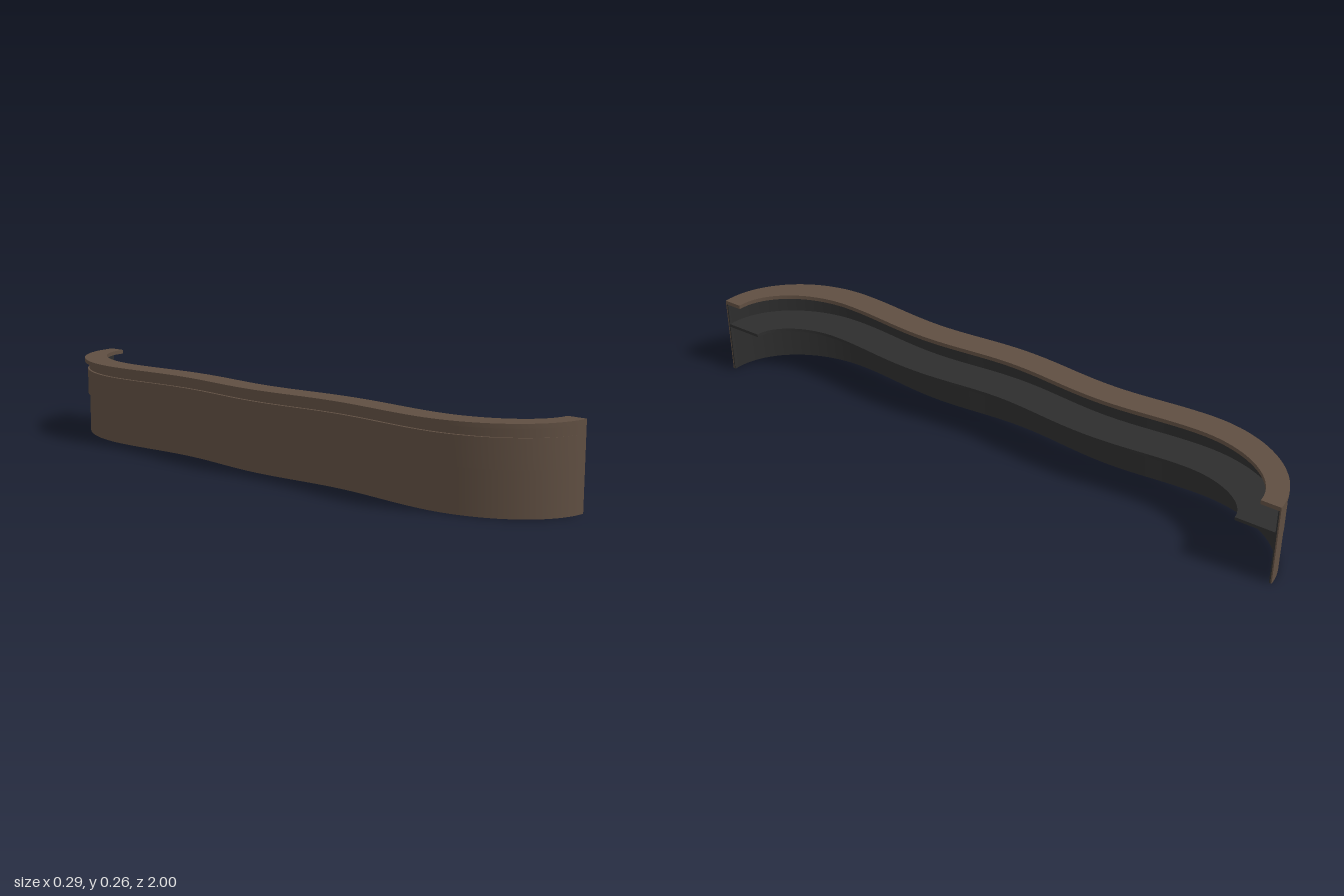
import * as THREE from 'three';
import { toCreasedNormals } from 'three/addons/utils/BufferGeometryUtils.js';

const BEND = 0.65;   // z where the wavy middle meets the curved ends
const END_X = 0.145; // x of the cut ends
const REACH = 0.263; // depth of the curved ends
const WAVE = 0.022;

// Plan curve of the wall face. Positive offsets run parallel on the inside;
// negative ones overhang outwards and taper away to nothing at the ends.
function planCurve(offset) {
  const depth = REACH + Math.max(0, -offset);
  const inset = Math.max(0, offset);
  const points = [];
  const add = (x, z, dx, dz) => {
    const len = Math.hypot(dx, dz);
    points.push(new THREE.Vector2(x + (dz / len) * inset, z - (dx / len) * inset));
  };
  const endSteps = 24, midSteps = 64;
  // end at -z
  for (let i = 0; i < endSteps; i++) {
    const a = (i / endSteps) * Math.PI / 2;
    add(END_X - depth * Math.sin(a), -BEND - 0.35 * Math.cos(a),
      -depth * Math.cos(a), 0.35 * Math.sin(a));
  }
  // wavy middle
  for (let i = 0; i <= midSteps; i++) {
    const z = -BEND + (2 * BEND * i) / midSteps;
    const k = (2 * Math.PI) / BEND;
    add(END_X - depth + WAVE * (1 - Math.cos(k * z)) / 2, z, WAVE * k * Math.sin(k * z) / 2, 1);
  }
  // end at +z
  for (let i = endSteps - 1; i >= 0; i--) {
    const a = (i / endSteps) * Math.PI / 2;
    add(END_X - depth * Math.sin(a), BEND + 0.35 * Math.cos(a),
      depth * Math.cos(a), 0.35 * Math.sin(a));
  }
  return points;
}

// Upright band between two plan curves
function band(name, outer, inner, bottom, top, material) {
  const outline = [...planCurve(outer), ...planCurve(inner).reverse()];
  const geometry = new THREE.ExtrudeGeometry(new THREE.Shape(outline), {
    depth: top - bottom, bevelEnabled: false,
  });
  geometry.rotateX(-Math.PI / 2);
  geometry.translate(0, bottom, 0);
  const mesh = new THREE.Mesh(toCreasedNormals(geometry, 0.5), material);
  mesh.name = name;
  return mesh;
}

export function createModel() {
  const wood = new THREE.MeshStandardMaterial({ name: 'brown wood', color: 0x5f4e41 });
  const dark = new THREE.MeshStandardMaterial({ name: 'dark lining', color: 0x2d2d2d });

  const group = new THREE.Group();
  group.name = 'curvedCounter';
  group.add(
    band('counterTop', -0.027, 0.061, 0.249, 0.262, wood),
    band('frontWall', 0, 0.004, 0, 0.249, wood),
    band('raisedPanel', -0.01, 0, 0.135, 0.222, wood),
    band('innerLining', 0.004, 0.008, 0, 0.249, dark),
    band('innerShelf', 0.008, 0.13, 0.165, 0.175, dark),
  );
  return group;
}
